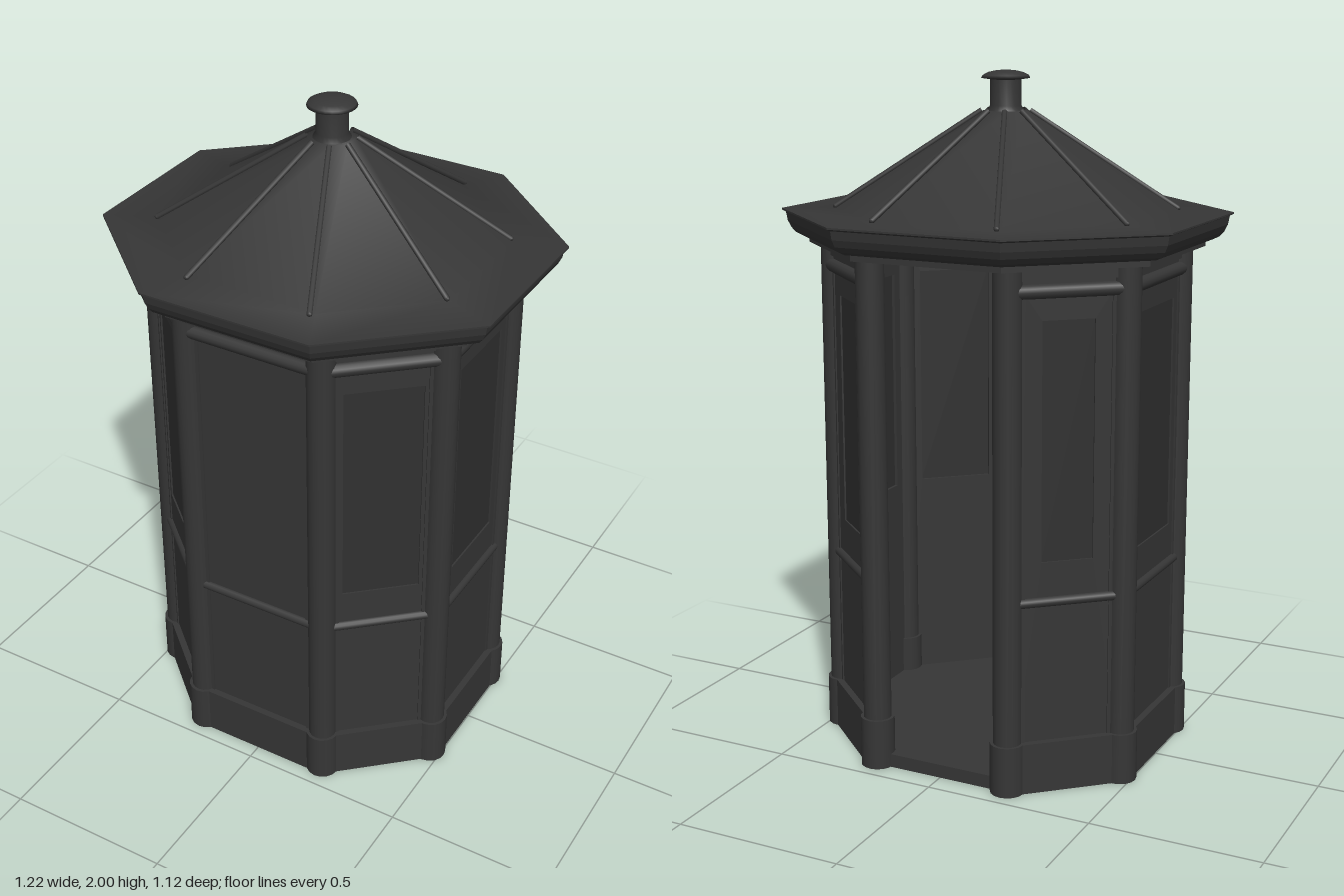
import * as THREE from 'three';

const dark = new THREE.MeshStandardMaterial({ color: 0x363636, side: THREE.DoubleSide });
const glassMat = new THREE.MeshStandardMaterial({ color: 0x303030, side: THREE.DoubleSide });

const octagon = (a, c, b, d) => [
  [a, c], [b, d], [b, -d], [a, -c], [-a, -c], [-b, -d], [-b, d], [-a, c],
].map(([x, z]) => new THREE.Vector2(x, z));

const eaves = octagon(0.26, 0.56, 0.61, 0.245);
const corners = octagon(0.212, 0.42, 0.463, 0.195);
const ribFeet = octagon(0.19, 0.44, 0.458, 0.192);
const WALL_TOP = 1.5, SILL = 0.68, HEAD = 1.36;

function add(parent, name, geometry, x = 0, y = 0, z = 0, material = dark) {
  const mesh = new THREE.Mesh(geometry, material);
  mesh.name = name;
  mesh.position.set(x, y, z);
  parent.add(mesh);
  return mesh;
}

// Octagonal loft through rings of [scale of the eaves outline, height]
function loft(rings, flat = true) {
  const pos = [], index = [];
  rings.forEach(([k, y]) => eaves.forEach((p) => pos.push(p.x * k, y, p.y * k)));
  for (let j = 0; j < rings.length - 1; j++) {
    for (let i = 0; i < 8; i++) {
      const a = j * 8 + i, b = j * 8 + (i + 1) % 8;
      index.push(a, b, b + 8, a, b + 8, a + 8);
    }
  }
  let g = new THREE.BufferGeometry();
  g.setAttribute('position', new THREE.Float32BufferAttribute(pos, 3));
  g.setIndex(index);
  if (flat) g = g.toNonIndexed();
  g.computeVertexNormals();
  return g;
}

// Wall slab with an optional window opening
function wallGeometry(len, win) {
  const s = new THREE.Shape();
  s.moveTo(-len / 2, 0).lineTo(len / 2, 0).lineTo(len / 2, WALL_TOP).lineTo(-len / 2, WALL_TOP).closePath();
  if (win) {
    const h = new THREE.Path();
    h.moveTo(-win / 2, SILL).lineTo(-win / 2, HEAD).lineTo(win / 2, HEAD).lineTo(win / 2, SILL).closePath();
    s.holes.push(h);
  }
  return new THREE.ExtrudeGeometry(s, { depth: 0.03, bevelEnabled: false }).translate(0, 0, -0.015);
}

function buildSide(group, i, win) {
  const a = corners[(i + 7) % 8], b = corners[i];
  const len = a.distanceTo(b);
  const side = new THREE.Group();
  side.name = 'wallSide';
  side.position.set((a.x + b.x) / 2, 0, (a.y + b.y) / 2);
  side.rotation.y = Math.atan2(a.y - b.y, b.x - a.x);
  group.add(side);

  add(side, 'wallPanel', wallGeometry(len, win));
  add(side, 'basePanel', new THREE.BoxGeometry(len, 0.15, 0.05), 0, 0.075, 0.01);
  const rail = (y, r) => add(side, 'rail',
    new THREE.CylinderGeometry(r, r, len, 12).rotateZ(Math.PI / 2), 0, y, 0.015);
  rail(0.565, 0.014);
  rail(1.44, 0.02);
  add(side, 'headBoard', new THREE.BoxGeometry(len, 0.03, 0.045), 0, 1.485, 0);
  // Narrow stiles beside the posts
  for (const s of [-1, 1]) {
    add(side, 'stile', new THREE.BoxGeometry(0.012, 1.28, 0.016), s * (len / 2 - 0.04), 0.79, 0.011);
  }
  // Pane set almost flush in the opening
  if (win) {
    add(side, 'windowPane', new THREE.BoxGeometry(win, HEAD - SILL, 0.016), 0, (SILL + HEAD) / 2, 0.002, glassMat);
  }
}

export function createModel() {
  const model = new THREE.Group();
  model.name = 'kiosk';

  // Walls: solid front, six windowed sides, open back (index 4)
  const windows = [0, 0.223, 0.25, 0.15, null, 0.15, 0.25, 0.223];
  windows.forEach((win, i) => { if (win !== null) buildSide(model, i, win); });

  // Corner posts and their plinths
  for (const p of corners) {
    add(model, 'post', new THREE.CylinderGeometry(0.041, 0.041, WALL_TOP, 16), p.x, WALL_TOP / 2, p.y);
    add(model, 'postBase', new THREE.CylinderGeometry(0.05, 0.05, 0.15, 16), p.x, 0.075, p.y);
  }

  // Floor and threshold
  add(model, 'floor', loft([[0, 0], [0.77, 0], [0.77, 0.04], [0, 0.04]]));

  // Cornice, closed below by the ceiling
  add(model, 'cornice', loft([
    [0, 1.5], [0.84, 1.5], [0.88, 1.502], [0.88, 1.518], [0.91, 1.521],
    [0.94, 1.53], [0.96, 1.545], [0.975, 1.565], [0.982, 1.59], [1, 1.595], [1, 1.6],
  ]));

  // Roof: shallow eaves running into the pitched cone
  add(model, 'roof', loft([[1, 1.6], [0.76, 1.604], [0.1, 1.885], [0, 1.89]], false));

  // Seam ribs down the slope
  for (const p of ribFeet) {
    const from = new THREE.Vector3(p.x, 1.609, p.y);
    const to = new THREE.Vector3(p.x * 0.14, 1.886, p.y * 0.14);
    add(model, 'roofRib', new THREE.TubeGeometry(new THREE.LineCurve3(from, to), 1, 0.008, 8));
    add(model, 'ribEnd', new THREE.SphereGeometry(0.008, 8, 6), from.x, from.y, from.z);
  }

  // Vent pipe and domed cap
  const lathe = (pts) => new THREE.LatheGeometry(pts.map(([x, y]) => new THREE.Vector2(x, y)), 24);
  add(model, 'ventPipe', lathe([[0.056, 1.87], [0.054, 1.885], [0.045, 1.9], [0.045, 1.98]]));
  add(model, 'ventCap', lathe([
    [0, 1.972], [0.045, 1.973], [0.07, 1.977], [0.066, 1.985], [0.05, 1.993], [0.028, 1.998], [0, 2],
  ]));

  return model;
}
